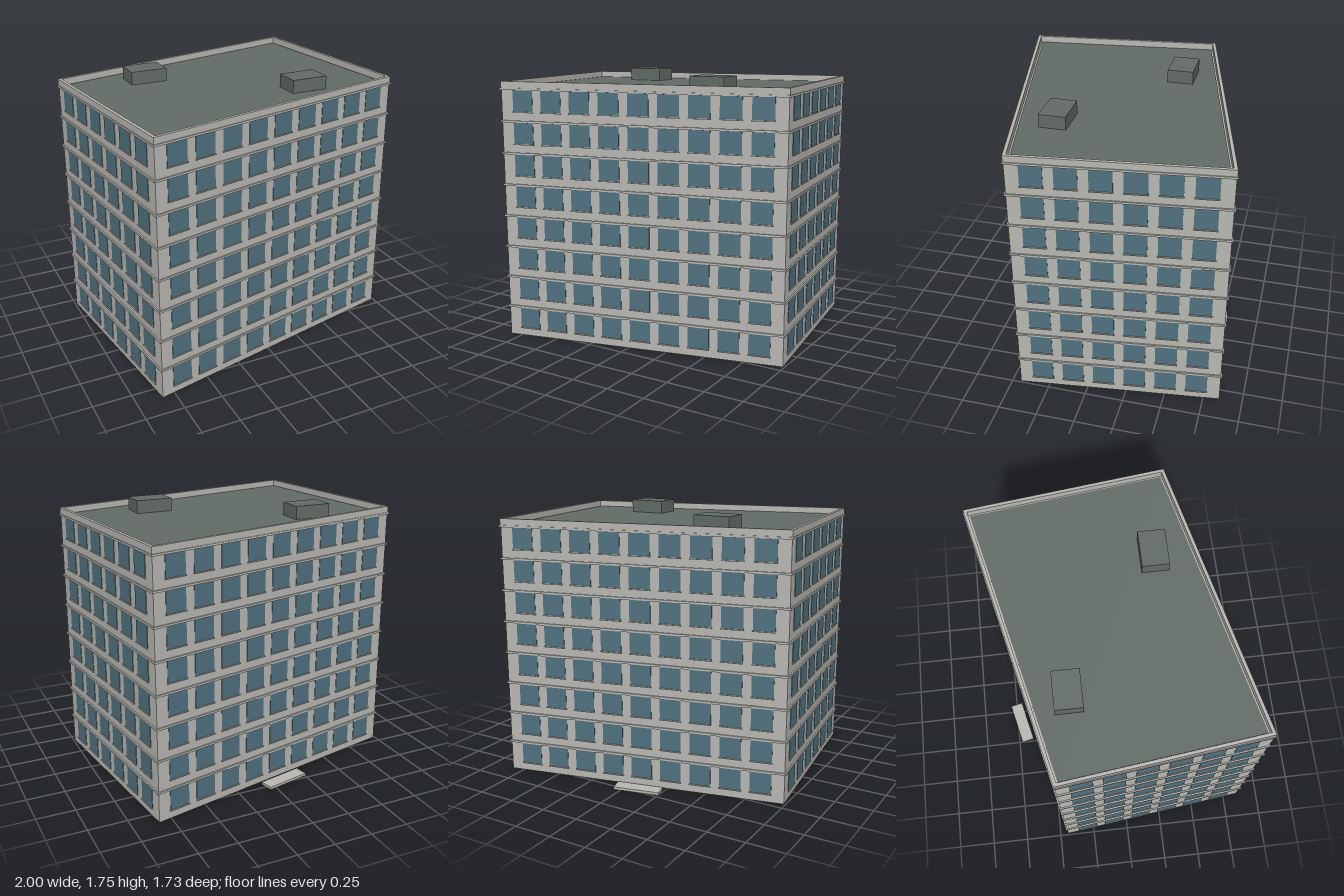
import * as THREE from 'three';
import { mergeGeometries } from 'three/addons/utils/BufferGeometryUtils.js';

const FLOORS = 8, FLOOR_HEIGHT = 0.2075;
const WALL_TOP = 1.655, PARAPET_TOP = 1.7;

// Wall corners of the slanted plan as [x, z]: back left, front left, front right, back right
const CORNERS = [[-0.99, -0.443], [-0.833, 0.853], [0.99, 0.443], [0.833, -0.853]];

const material = (name, color) => {
  const m = new THREE.MeshStandardMaterial({ color });
  m.name = name;
  return m;
};

// Plan corners moved outwards by d along both adjoining walls
function outline(d) {
  const unit = (a, b) => new THREE.Vector2(a[0] - b[0], a[1] - b[1]).normalize();
  return CORNERS.map((c, i) => {
    const u = unit(c, CORNERS[(i + 3) % 4]), v = unit(c, CORNERS[(i + 1) % 4]);
    const k = d / Math.abs(u.cross(v));
    return new THREE.Vector2(c[0] + (u.x + v.x) * k, -(c[1] + (u.y + v.y) * k));
  });
}

// Upright prism on the plan, optionally hollow
function prism(outer, y0, y1, inner) {
  const shape = new THREE.Shape(outline(outer));
  if (inner !== undefined) shape.holes.push(new THREE.Path(outline(inner)));
  return new THREE.ExtrudeGeometry(shape, { depth: y1 - y0, bevelEnabled: false })
    .rotateX(-Math.PI / 2).translate(0, y0, 0);
}

const box = (w, h, d, x, y, z) => new THREE.BoxGeometry(w, h, d).translate(x, y, z);

export function createModel() {
  const model = new THREE.Group();
  model.name = 'apartmentBlock';
  const concrete = material('concrete', 0xb9b8b3);
  const glass = material('glass', 0x507280);
  const roofing = material('roofing', 0x636c67);

  const add = (name, geometry, mat, parent = model) => {
    const mesh = new THREE.Mesh(geometry, mat);
    mesh.name = name;
    parent.add(mesh);
    return mesh;
  };

  add('walls', prism(0, 0, WALL_TOP), concrete);
  add('parapet', prism(0.003, WALL_TOP, PARAPET_TOP, -0.018), concrete);
  add('roofDeck', prism(-0.028, WALL_TOP - 0.01, WALL_TOP + 0.005), roofing);

  // Projecting course above each row of windows
  const courses = [];
  for (let i = 0; i < FLOORS; i++) {
    const y = 0.193 + i * FLOOR_HEIGHT;
    courses.push(prism(0.009, y, y + 0.013, -0.01));
  }
  add('floorCourses', mergeGeometries(courses), concrete);

  // Windows and sills on each wall, in a frame whose +z points outwards
  const names = ['leftWall', 'frontWall', 'rightWall', 'backWall'];
  CORNERS.forEach((a, i) => {
    const b = CORNERS[(i + 1) % 4];
    const dx = b[0] - a[0], dz = b[1] - a[1];
    const wall = new THREE.Group();
    wall.name = names[i];
    wall.position.set((a[0] + b[0]) / 2, 0, (a[1] + b[1]) / 2);
    wall.rotation.y = Math.atan2(-dz, dx);
    model.add(wall);

    const count = i % 2 ? 9 : 6, pitch = i % 2 ? 0.196 : 0.2;
    const panes = [], sills = [];
    for (let row = 0; row < FLOORS; row++) {
      for (let col = 0; col < count; col++) {
        const x = (col - (count - 1) / 2) * pitch;
        const y = 0.055 + row * FLOOR_HEIGHT;
        panes.push(box(0.138, 0.137, 0.006, x, y + 0.0685, 0));
        sills.push(box(0.144, 0.006, 0.012, x, y - 0.003, 0.003));
      }
    }
    add('windows', mergeGeometries(panes), glass, wall);
    add('windowSills', mergeGeometries(sills), concrete, wall);

    // Low entrance slab standing just off the back wall
    if (names[i] === 'backWall') add('entranceSlab', box(0.305, 0.018, 0.088, 0, 0.009, 0.072), concrete, wall);
  });

  // Roof housings
  for (const s of [-1, 1]) {
    const x = s < 0 ? -0.44 : 0.413, z = s < 0 ? -0.314 : 0.303;
    add(s < 0 ? 'rearRoofHousing' : 'frontRoofHousing', box(0.243, 0.09, 0.172, x, 1.7, z), roofing);
  }
  return model;
}
